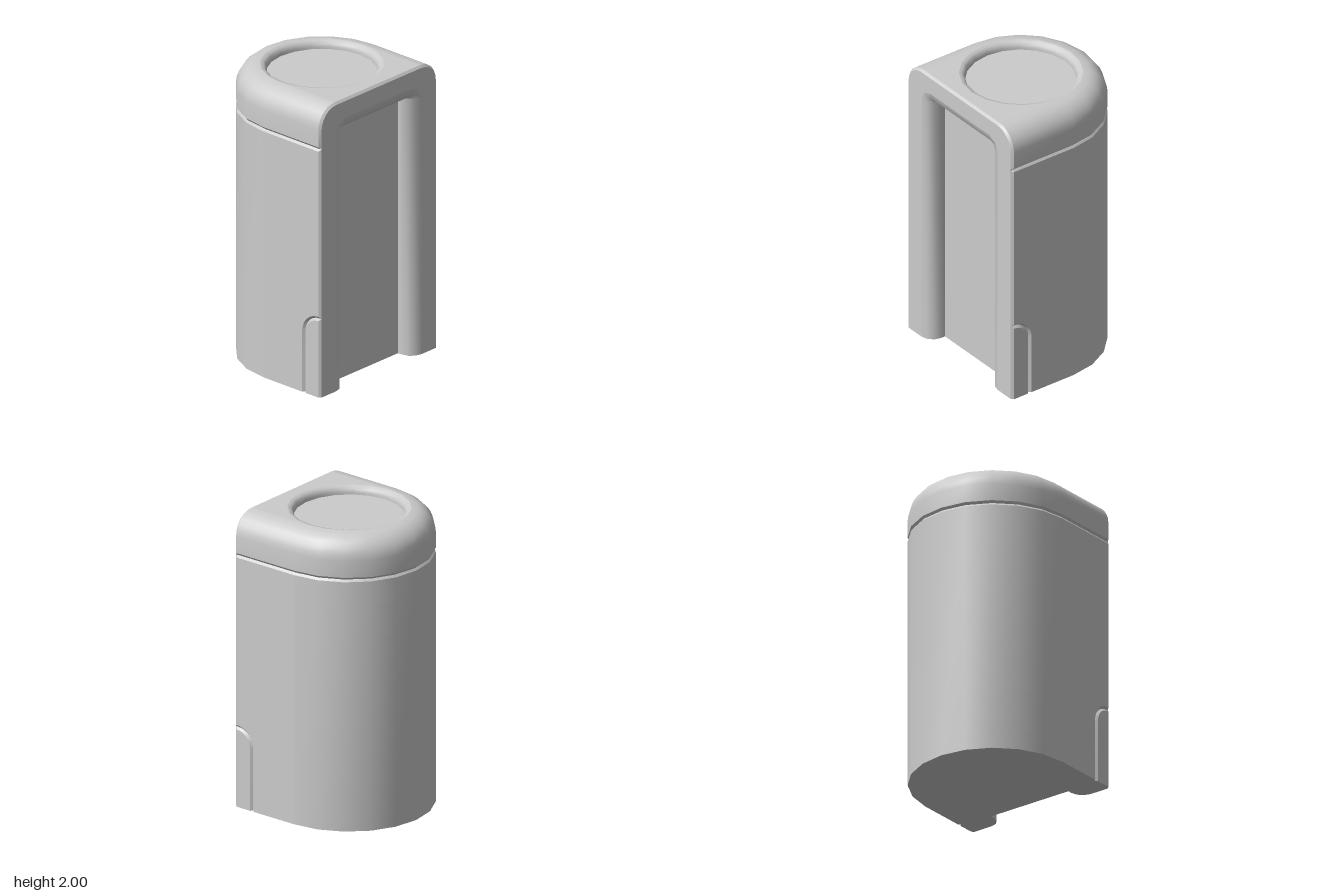
import * as THREE from 'three';
import { toCreasedNormals } from 'three/addons/utils/BufferGeometryUtils.js';

const R = 0.55, ZC = 0.03;            // half width, centre of the rounded back
const ZF = 0.52, BEVEL = 0.015;       // front face and its chamfer
const ZE = ZF - BEVEL;
const SEAM = 1.705, ROUND = 0.15, SHOULDER = 1.85, TOP = 2;
const ARC = Array.from({ length: 11 }, (_, i) => i * Math.PI / 10);

const material = new THREE.MeshStandardMaterial({ color: 0xcccccc, side: THREE.DoubleSide });

// Surface through rows of points; rows run up, columns run right, seen from outside
function grid(rows, flip = false, crease = 0.6) {
  const pos = [];
  const tri = (a, b, c) => pos.push(...a, ...(flip ? c : b), ...(flip ? b : c));
  const same = (a, b) => a.every((v, k) => Math.abs(v - b[k]) < 1e-6);
  for (let i = 0; i < rows.length - 1; i++) {
    for (let j = 0; j < rows[i].length - 1; j++) {
      const a = rows[i][j], b = rows[i][j + 1], c = rows[i + 1][j + 1], d = rows[i + 1][j];
      if (!same(a, b)) tri(a, b, c);
      if (!same(c, d)) tri(a, c, d);
    }
  }
  const g = new THREE.BufferGeometry();
  g.setAttribute('position', new THREE.Float32BufferAttribute(pos, 3));
  return toCreasedNormals(g, crease);
}

const vectors = pts => pts.map(([x, y]) => new THREE.Vector2(x, y));
const flat = pts => new THREE.ShapeGeometry(new THREE.Shape(vectors(pts)));
const mirrorX = pts => pts.map(([x, ...rest]) => [-x, ...rest]).reverse();

const arc = (r, y) => ARC.map(t => [r * Math.cos(t), y, ZC - r * Math.sin(t)]);

// Full outline at one height: inset d, with the chamfered front edge at inset fd
function outline(d, y, fd = BEVEL, fy = y) {
  const front = [[R - fd, fy, ZF], [R - d, y, ZE]];
  return [...front, ...arc(R - d, y), ...mirrorX(front)];
}

// Front opening widened by o
function opening(o) {
  const k = o * Math.SQRT1_2;
  const half = [[0.31 + o, 0], [0.31 + o, 1.78], [0.31 + k, 1.78 + k], [0.31, 1.78 + o]];
  return [...half, ...mirrorX(half)];
}

// Quarter-round lip: [offset from wall, depth]
const lip = (r, steps, depth) => {
  const pts = [];
  for (let i = 0; i <= steps; i++) {
    const t = i / steps * Math.PI / 2;
    pts.push([r * (1 - Math.sin(t)), r * (1 - Math.cos(t))]);
  }
  return [...pts, [0, depth]];
};

// Arched side line of radius r as [z, y]
function arch(r) {
  const pts = [[ZE - r, 0]];
  for (let i = 0; i <= 6; i++) {
    const t = i / 6 * Math.PI / 2;
    pts.push([ZE - r * Math.cos(t), 0.42 + r * Math.sin(t)]);
  }
  return pts;
}

export function createModel() {
  const model = new THREE.Group();
  model.name = 'housing';
  const add = (name, geometry) => {
    const mesh = new THREE.Mesh(geometry, material);
    mesh.name = name;
    model.add(mesh);
    return mesh;
  };

  // Rounded back of the body
  add('bodyBack', grid([arc(R, 0), arc(R, SEAM)]));

  // Seam groove and cap with rounded shoulder
  const capRows = [outline(0, SEAM), outline(0.012, 1.72), outline(0, 1.735)];
  const frontEdge = [[R - BEVEL, 0]];
  for (let i = 0; i <= 6; i++) {
    const t = i / 6 * Math.PI / 2, c = Math.cos(t), s = Math.sin(t), r = ROUND - BEVEL;
    const fd = ROUND - r * c, fy = SHOULDER + r * s;
    capRows.push(outline(ROUND * (1 - c), SHOULDER + ROUND * s, fd, fy));
    frontEdge.push([R - fd, fy]);
  }
  add('cap', grid(capRows));
  const w = R - ROUND;
  add('capFrontChamfer', grid([
    [[-w, TOP - BEVEL, ZF], [w, TOP - BEVEL, ZF]],
    [[-w, TOP, ZE], [w, TOP, ZE]],
  ]));

  // Top surface around the round well
  const topShape = new THREE.Shape(vectors(
    [[w, -ZE], ...arc(w, 0).map(([x, , z]) => [x, -z]), [-w, -ZE]]));
  const circle = r => Array.from({ length: 21 }, (_, i) => {
    const t = i * Math.PI / 10;
    return [r * Math.cos(t), r * Math.sin(t)];
  });
  topShape.holes.push(new THREE.Path(vectors(
    circle(0.395).slice(0, 20).map(([x, y]) => [x, y - ZC]))));
  add('topFace', new THREE.ShapeGeometry(topShape).rotateX(-Math.PI / 2).translate(0, TOP, 0));

  // Round well with soft lip
  const wellDepth = 0.055;
  add('wellRim', grid(lip(0.04, 3, wellDepth).map(([o, d]) =>
    circle(0.355 + o).map(([x, y]) => [x, TOP - d, ZC - y]))));
  add('wellFloor', new THREE.CircleGeometry(0.355, 20)
    .rotateX(-Math.PI / 2).translate(0, TOP - wellDepth, ZC));

  // Front frame, its soft lip and the recessed panel
  add('frontFrame', flat([...frontEdge, ...mirrorX(frontEdge), ...opening(0.09).reverse()])
    .translate(0, 0, ZF));
  const frontLip = lip(0.09, 3, 0.12);
  add('frontRecessLip', grid(frontLip.map(([o, d]) =>
    opening(o).map(([x, y]) => [x, y, ZF - d])), false, 0.8));
  add('frontPanel', new THREE.PlaneGeometry(0.62, 1.78).translate(0, 0.89, ZF - 0.12));

  // Sides with arched corner panels
  const xf = R - BEVEL, outer = arch(0.14), mid = arch(0.125), inner = arch(0.11);
  const yMid = mid[mid.length - 1][1];
  mid[mid.length - 1] = [ZF, yMid];   // the groove runs out through the chamfer
  for (const s of [1, -1]) {
    const side = s > 0 ? 'left' : 'right';
    const wall = pts => flat(pts.map(([z, y]) => [-s * z, y]))
      .rotateY(s * Math.PI / 2).translate(s * R, 0, 0);
    add(side + 'Wall', wall([[ZC, 0], ...outer, [ZE, SEAM], [ZC, SEAM]]));
    add(side + 'CornerPanel', wall([...inner, [ZE, 0]]));
    const at = (x, pts) => pts.map(([z, y]) => [s * x, y, z]);
    add(side + 'PanelGroove', grid([at(R, outer), at(xf, mid), at(R, inner)], s < 0));
    add(side + 'UpperChamfer', grid(
      [at(xf, [[ZF, yMid]]).concat(at(R, [[ZE, 0.56]])),
        at(xf, [[ZF, SEAM]]).concat(at(R, [[ZE, SEAM]]))], s < 0));
    add(side + 'LowerChamfer', grid(
      [at(xf, [[ZF, 0]]).concat(at(R, [[ZE, 0]])),
        at(xf, [[ZF, yMid]]).concat(at(R, [[ZE, 0.53]]))], s < 0));
  }

  // Underside following the groove notches and front recess
  const notch = [[xf, ZF], [R, ZE], [R, inner[0][0]], [xf, mid[0][0]], [R, outer[0][0]]];
  const lipRight = frontLip.map(([o, d]) => [0.31 + o, ZF - d]);
  add('underside', flat([
    ...notch, ...arc(R, 0).map(([x, , z]) => [x, z]), ...mirrorX(notch),
    ...lipRight.map(([x, z]) => [-x, z]), ...lipRight.slice().reverse(),
  ]).rotateX(Math.PI / 2));

  return model;
}
